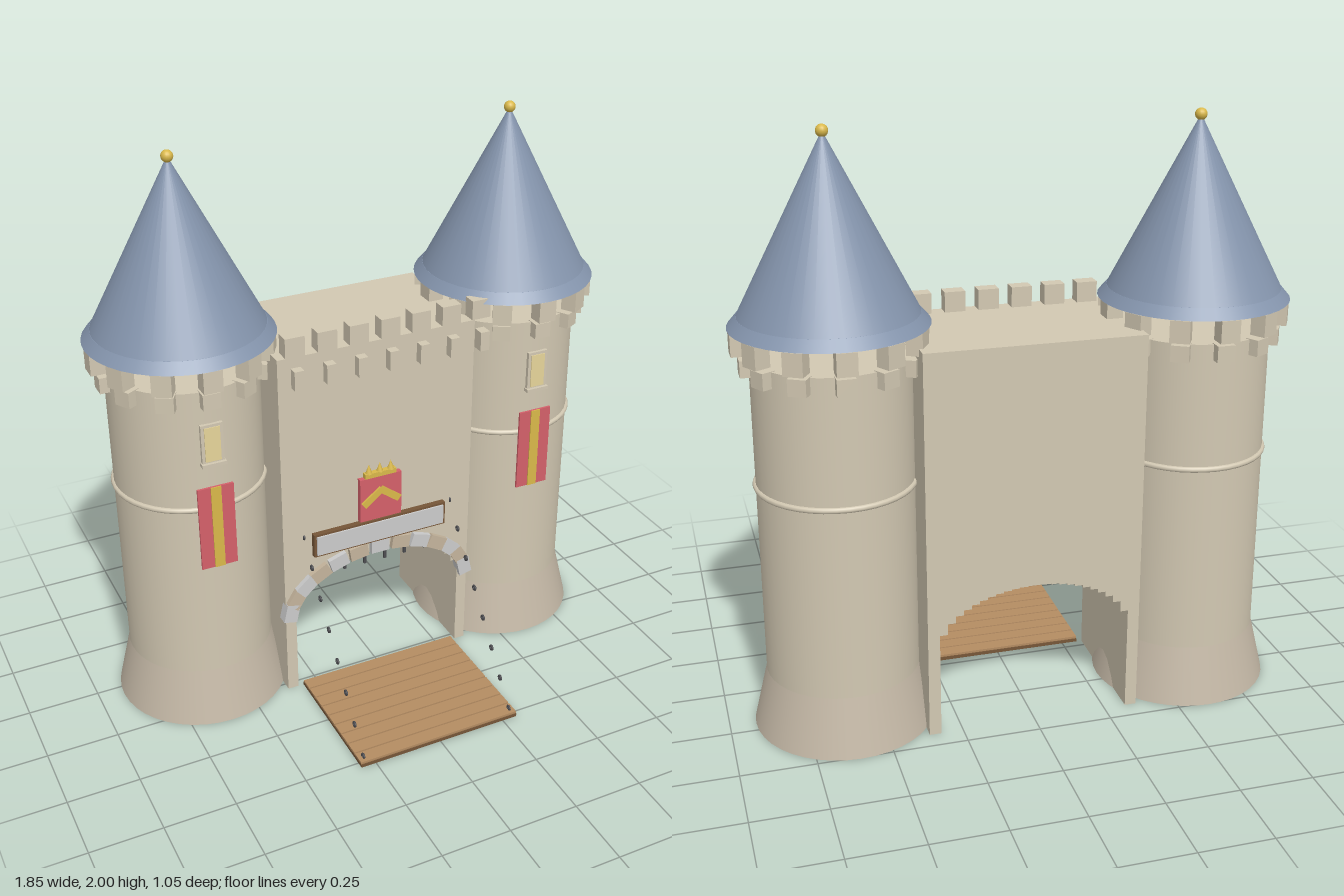
import * as THREE from 'three';

const mat = (color) => new THREE.MeshStandardMaterial({ color });
const M = {
  stone: mat(0xd2c8b2), base: mat(0xc4b8a6), pale: mat(0xd8d8d4), tan: mat(0xc4b49c),
  roof: mat(0x8494ac), gold: mat(0xd9b84a), red: mat(0xd4606a), glass: mat(0xe6d49a),
  wood: mat(0xb48c62), darkWood: mat(0x765638), iron: mat(0x4c4c50),
};

function add(parent, name, geometry, material, x = 0, y = 0, z = 0) {
  const mesh = new THREE.Mesh(geometry, material);
  mesh.name = name;
  mesh.position.set(x, y, z);
  parent.add(mesh);
  return mesh;
}

// Box given by its extents on each axis
function block(parent, name, material, [x0, x1], [y0, y1], [z0, z1]) {
  return add(parent, name, new THREE.BoxGeometry(x1 - x0, y1 - y0, z1 - z0), material,
    (x0 + x1) / 2, (y0 + y1) / 2, (z0 + z1) / 2);
}

// Ring of equal boxes facing outward
function ringOfBlocks(parent, name, count, radius, y, size) {
  for (let i = 0; i < count; i++) {
    const a = (i / count) * Math.PI * 2;
    add(parent, name, new THREE.BoxGeometry(...size), M.stone,
      Math.sin(a) * radius, y, Math.cos(a) * radius).rotation.y = a;
  }
}

function makeTower(x) {
  const g = new THREE.Group();
  g.name = 'tower';
  g.position.set(x, 0, -0.205);
  add(g, 'towerBase', new THREE.CylinderGeometry(0.257, 0.305, 0.2, 40), M.base, 0, 0.1);
  add(g, 'towerBody', new THREE.CylinderGeometry(0.257, 0.257, 1.09, 40), M.stone, 0, 0.745);
  const band = add(g, 'towerBand', new THREE.TorusGeometry(0.257, 0.01, 8, 40), M.stone, 0, 0.86);
  band.rotation.x = Math.PI / 2;
  ringOfBlocks(g, 'towerCorbel', 12, 0.264, 1.265, [0.06, 0.055, 0.048]);
  ringOfBlocks(g, 'towerMerlon', 12, 0.285, 1.345, [0.065, 0.075, 0.055]);

  // Roof with a flared eave and a ball finial
  add(g, 'roofEave', new THREE.CylinderGeometry(0.288, 0.318, 0.035, 40), M.roof, 0, 1.4025);
  add(g, 'roof', new THREE.ConeGeometry(0.288, 0.563, 40), M.roof, 0, 1.7);
  add(g, 'finial', new THREE.SphereGeometry(0.02, 16, 12), M.gold, 0, 1.98);

  // Window and banner on the front
  block(g, 'windowFrame', M.stone, [-0.038, 0.038], [1.03, 1.175], [0.24, 0.267]);
  block(g, 'windowPane', M.glass, [-0.027, 0.027], [1.042, 1.165], [0.26, 0.27]);
  block(g, 'windowSill', M.stone, [-0.042, 0.042], [1.025, 1.037], [0.24, 0.278]);
  block(g, 'banner', M.red, [-0.063, 0.063], [0.637, 0.945], [0.262, 0.27]);
  block(g, 'bannerStripe', M.gold, [-0.018, 0.018], [0.637, 0.945], [0.268, 0.274]);
  return g;
}

function makeGateWall() {
  const g = new THREE.Group();
  g.name = 'gateWall';

  // Wall outline with a stepped elliptical vault
  const half = 0.325, spring = 0.31, rise = 0.195, steps = 24;
  const s = new THREE.Shape();
  s.moveTo(-0.365, 0);
  s.lineTo(-half, 0);
  for (let i = 0; i < steps; i++) {
    const x0 = -half + (2 * half * i) / steps, x1 = x0 + (2 * half) / steps;
    const y = spring + rise * Math.sqrt(1 - (((x0 + x1) / 2) / half) ** 2);
    s.lineTo(x0, y);
    s.lineTo(x1, y);
  }
  s.lineTo(half, 0);
  s.lineTo(0.365, 0);
  s.lineTo(0.365, 1.333);
  s.lineTo(-0.365, 1.333);
  const wall = new THREE.ExtrudeGeometry(s, { depth: 0.465, bevelEnabled: false });
  add(g, 'wall', wall, M.stone, 0, 0, -0.435);

  // Battlements with small corbels below
  for (let i = 0; i < 7; i++) {
    const x = -0.3 + i * 0.115;
    block(g, 'wallMerlon', M.stone, [x - 0.035, x + 0.035], [1.333, 1.402], [-0.02, 0.03]);
    block(g, 'wallCorbel', M.stone, [x - 0.017, x + 0.017], [1.225, 1.295], [0.02, 0.062]);
  }

  // Arch stones in alternating colours
  for (let i = 0; i < 13; i++) {
    const t = THREE.MathUtils.degToRad(8 + (164 * i) / 12);
    const stone = add(g, 'archStone', new THREE.BoxGeometry(0.05, 0.07, 0.04),
      i % 2 ? M.tan : M.pale, Math.cos(t) * 0.35, 0.31 + Math.sin(t) * 0.22, 0.028);
    stone.rotation.z = Math.atan2(Math.sin(t) / 0.22, Math.cos(t) / 0.35);
  }

  // Raised portcullis bars
  for (let i = 0; i < 6; i++) {
    const x = -0.2 + i * 0.08;
    block(g, 'portcullisBar', M.iron, [x - 0.005, x + 0.005], [0.44, 0.55], [-0.005, 0.005]);
  }

  // Blank plaque
  block(g, 'plaqueFrame', M.darkWood, [-0.257, 0.257], [0.555, 0.645], [0.025, 0.05]);
  block(g, 'plaque', M.pale, [-0.248, 0.248], [0.563, 0.637], [0.045, 0.056]);
  return g;
}

function makeShield() {
  const g = new THREE.Group();
  g.name = 'shield';
  block(g, 'shieldBoard', M.red, [-0.08, 0.08], [0.65, 0.82], [0.025, 0.05]);
  for (const side of [-1, 1]) {
    const bar = add(g, 'chevron', new THREE.BoxGeometry(0.09, 0.025, 0.012), M.gold,
      side * 0.033, 0.744, 0.052);
    bar.rotation.z = -side * 0.65;
  }
  block(g, 'crownBand', M.gold, [-0.06, 0.06], [0.82, 0.838], [0.028, 0.05]);
  for (const x of [-0.042, 0, 0.042]) {
    add(g, 'crownPoint', new THREE.ConeGeometry(0.013, 0.035, 8), M.gold, x, 0.853, 0.04);
  }
  return g;
}

function makeDrawbridge() {
  const g = new THREE.Group();
  g.name = 'drawbridge';
  block(g, 'bridgeDeck', M.darkWood, [-0.305, 0.305], [0, 0.012], [0.03, 0.525]);
  const count = 9, pitch = 0.495 / count;
  for (let i = 0; i < count; i++) {
    const z = 0.03 + i * pitch;
    block(g, 'plank', M.wood, [-0.305, 0.305], [0.01, 0.02], [z + 0.003, z + pitch - 0.003]);
  }
  // Separate chain links running down to the outer corners
  for (const x of [-0.287, 0.287]) {
    for (let i = 0; i < 8; i++) {
      const k = i / 7;
      const link = add(g, 'chainLink', new THREE.TorusGeometry(0.008, 0.004, 6, 10), M.iron,
        x, 0.635 - 0.61 * k, 0.025 + 0.475 * k);
      link.rotation.y = Math.PI / 2;
    }
  }
  return g;
}

export function createModel() {
  const model = new THREE.Group();
  model.name = 'castleGate';
  model.add(makeTower(-0.608), makeTower(0.608), makeGateWall(), makeShield(), makeDrawbridge());
  return model;
}
